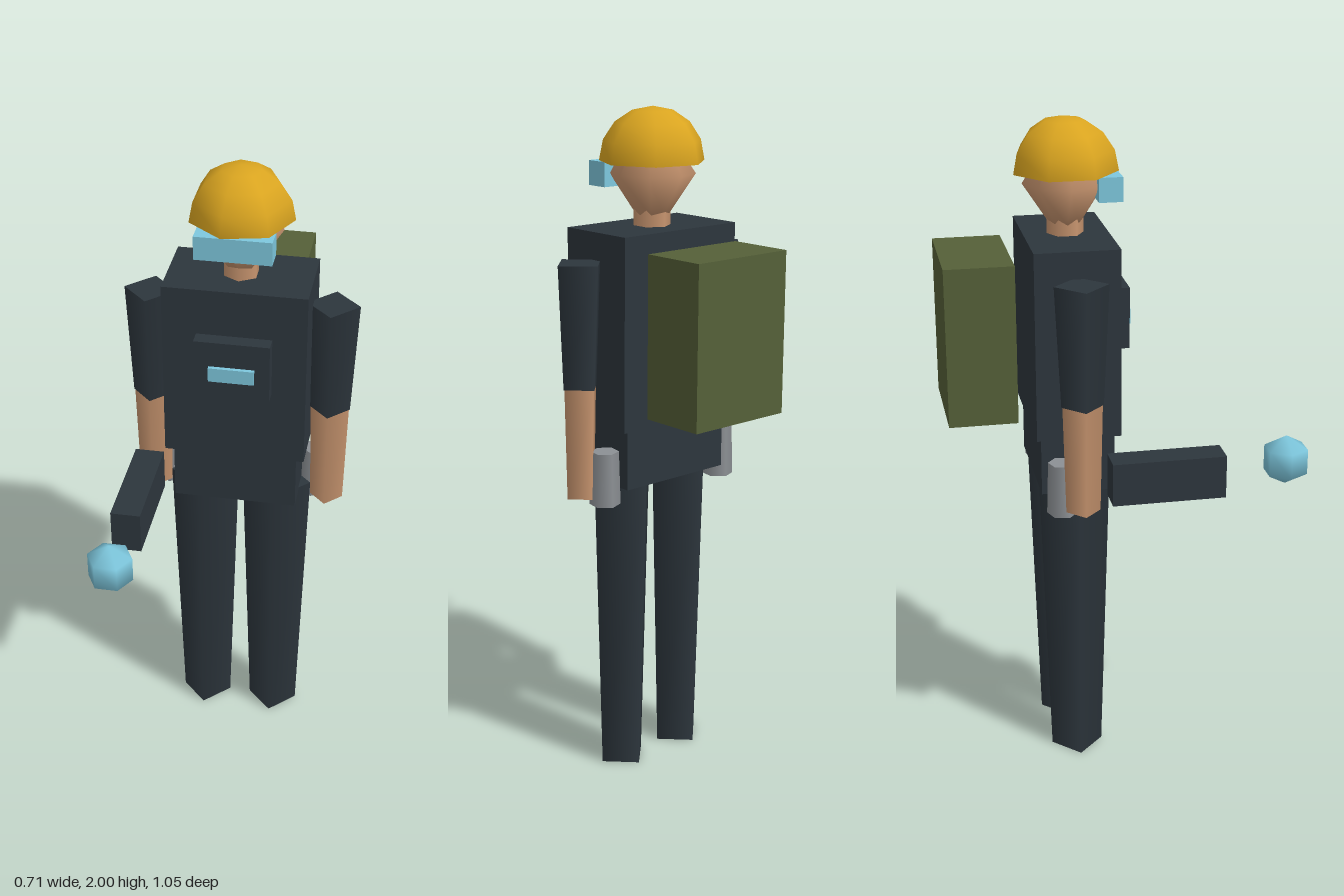
import * as THREE from 'three';

const mat = (name, color, side = THREE.FrontSide) => {
  const m = new THREE.MeshStandardMaterial({ color, side });
  m.name = name;
  return m;
};

export function createModel() {
  const group = new THREE.Group();
  const dark = mat('dark cloth', 0x2d363d);
  const skin = mat('skin', 0xc8956f);
  const yellow = mat('helmet yellow', 0xdaa520, THREE.DoubleSide);
  const cyan = mat('light blue', 0x7ec8de);
  const olive = mat('olive', 0x556038);
  const gray = mat('gray metal', 0x8c9094);
  const Z = -0.15; // body axis

  const add = (name, geo, material, x, y, z) => {
    const mesh = new THREE.Mesh(geo, material);
    mesh.name = name;
    mesh.position.set(x, y, z);
    group.add(mesh);
    return mesh;
  };
  // Box from its minimum and maximum corners
  const box = (name, material, [x0, y0, z0], [x1, y1, z1]) =>
    add(name, new THREE.BoxGeometry(x1 - x0, y1 - y0, z1 - z0), material,
      (x0 + x1) / 2, (y0 + y1) / 2, (z0 + z1) / 2);
  // Tapered prism standing between two heights
  const prism = (name, material, rTop, rBottom, y0, y1, sides, x, z) =>
    add(name, new THREE.CylinderGeometry(rTop, rBottom, y1 - y0, sides), material, x, (y0 + y1) / 2, z);

  // Body and equipment
  box('torso', dark, [-0.215, 1.095, -0.275], [0.215, 1.66, -0.025]);
  box('hips', dark, [-0.19, 0.915, -0.26], [0.19, 1.095, -0.04]);
  box('chestPlate', dark, [-0.113, 1.33, -0.03], [0.113, 1.515, 0.02]);
  box('chestLight', cyan, [-0.068, 1.39, 0.015], [0.068, 1.435, 0.032]);
  box('backpack', olive, [-0.17, 1.14, -0.525], [0.17, 1.615, -0.322]);

  // Limbs and hip canisters
  for (const s of [-1, 1]) {
    const side = s > 0 ? 'left' : 'right';
    prism(side + 'Leg', dark, 0.108, 0.08, 0, 0.93, 4, s * 0.115, Z);
    prism(side + 'UpperArm', dark, 0.079, 0.062, 1.22, 1.58, 4, s * 0.275, Z);
    prism(side + 'Forearm', skin, 0.059, 0.051, 0.89, 1.22, 4, s * 0.275, Z);
    prism(side + 'Canister', gray, 0.041, 0.046, 0.87, 1.03, 6, s * 0.23, -0.205).rotation.y = -0.17;
  }

  // Neck and angular head
  prism('neck', skin, 0.055, 0.055, 1.65, 1.72, 6, 0, Z);
  const headProfile = [[0, -0.125], [0.048, -0.118], [0.125, 0], [0.05, 0.11], [0, 0.125]]
    .map(([r, y]) => new THREE.Vector2(r, y));
  add('head', new THREE.LatheGeometry(headProfile, 8), skin, 0, 1.81, Z);

  // Domed helmet and goggles
  const helmet = add('helmet', new THREE.SphereGeometry(0.157, 7, 4, 0, Math.PI * 2, 0, Math.PI / 2),
    yellow, 0, 1.843, Z);
  helmet.rotation.y = Math.PI;
  box('goggles', cyan, [-0.113, 1.77, -0.07], [0.113, 1.842, 0]);

  // Hand-held device with its glowing orb
  box('deviceBody', dark, [-0.32, 0.917, -0.07], [-0.23, 1.048, 0.27]);
  add('deviceOrb', new THREE.SphereGeometry(0.077, 6, 3), cyan, -0.275, 1.005, 0.463);

  return group;
}
